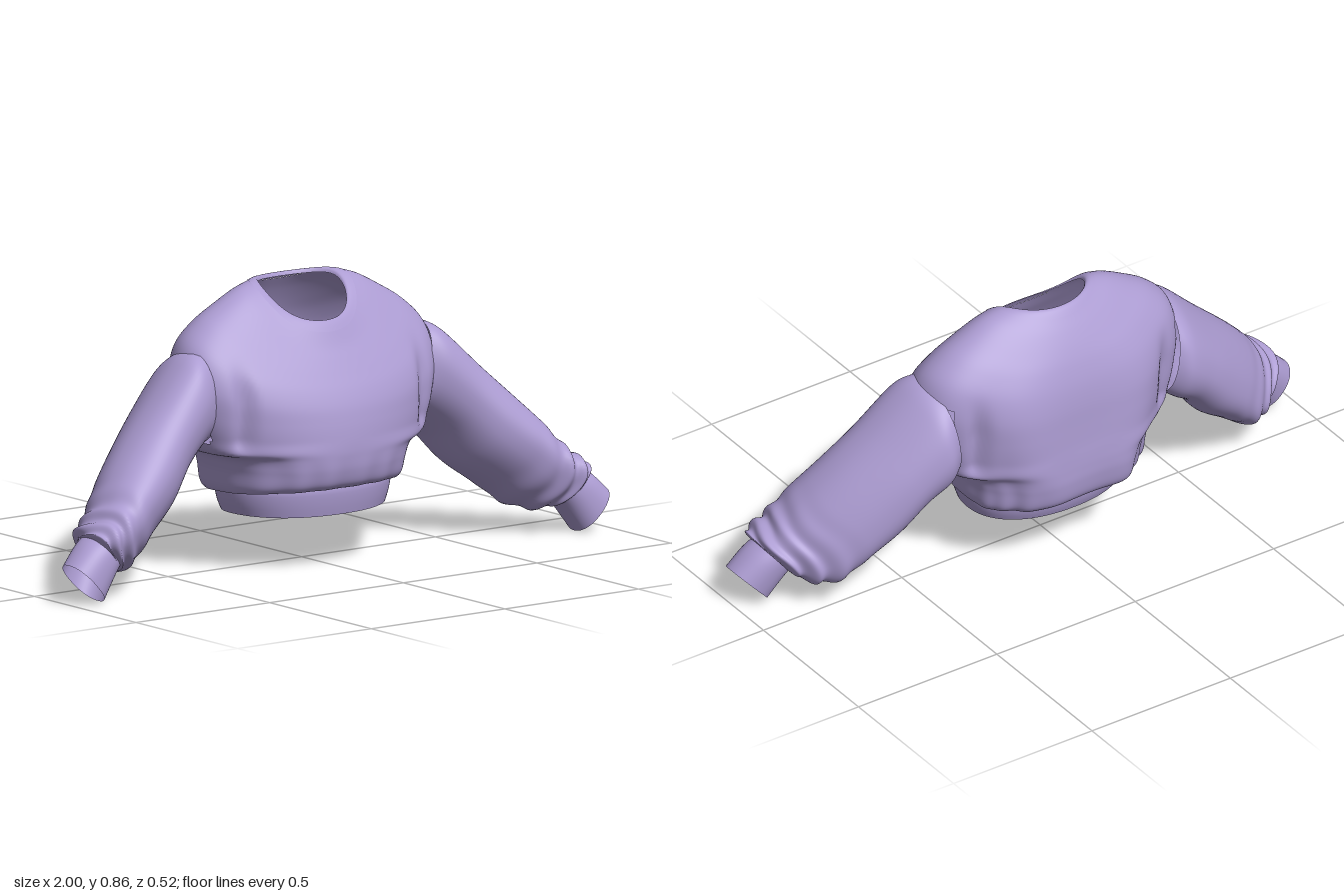
import * as THREE from 'three';

const fabric = new THREE.MeshStandardMaterial({ color: 0xac9cd2, side: THREE.DoubleSide });
fabric.name = 'lilac fabric';

// Smooth interpolation through a list of section rows
function sample(rows, v) {
  const t = v * (rows.length - 1);
  const i = Math.min(Math.floor(t), rows.length - 2);
  const f = t - i;
  const at = (k) => rows[Math.max(0, Math.min(rows.length - 1, k))];
  return rows[i].map((p1, k) => {
    const p0 = at(i - 1)[k], p2 = at(i + 1)[k], p3 = at(i + 2)[k];
    const m1 = (p2 - p0) / 2, m2 = (p3 - p1) / 2;
    return p1 + f * (m1 + f * (3 * (p2 - p1) - 2 * m1 - m2 + f * (2 * (p1 - p2) + m1 + m2)));
  });
}

// Closed-loop surface: point(v, angle) gives [x, y, z]; cut(x, y, z) leaves openings
function loft(name, steps, sides, point, flip = false, cut = () => false) {
  const pos = [], idx = [];
  for (let i = 0; i <= steps; i++) {
    for (let j = 0; j < sides; j++) {
      const p = point(i / steps, (j / sides) * Math.PI * 2);
      pos.push(...p);
      if (i === steps || cut(...p)) continue;
      const a = i * sides + j, b = i * sides + ((j + 1) % sides);
      const c = a + sides, d = b + sides;
      idx.push(...(flip ? [a, b, c, b, d, c] : [a, c, b, b, c, d]));
    }
  }
  const g = new THREE.BufferGeometry();
  g.setAttribute('position', new THREE.Float32BufferAttribute(pos, 3));
  g.setIndex(idx);
  g.computeVertexNormals();
  const mesh = new THREE.Mesh(g, fabric);
  mesh.name = name;
  return mesh;
}

const power = (c, e) => Math.sign(c) * Math.pow(Math.abs(c), e);
const smooth = THREE.MathUtils.smoothstep;

// Torso ring: half width, front z, back z, then y at front, side and back
function torsoPoint(row, a, round, fold = 0) {
  const [w, zf, zb, yf, ys, yb] = row;
  const c = Math.cos(a), s = Math.sin(a), e = 2 / round;
  const k = 1 + fold;
  const b = (c + Math.sin(c * Math.PI / 2)) / 2;
  const y = ys + ((yf - yb) / 2) * b + ((yf + yb) / 2 - ys) * b * b;
  return [w * power(s, e) * (1 + fold * Math.abs(c)), y, (c > 0 ? zf : -zb) * power(c, e) * k];
}

// Sleeve ring: top x, top y, bottom x, bottom y, back z, front z, forward lean of the top
function sleevePoint(row, a, side, k = 1) {
  const [tx, ty, bx, by, zb, zf, lean] = row;
  const c = power(Math.cos(a), 0.9) * k, s = power(Math.sin(a), 0.9) * k;
  return [
    side * ((tx + bx) / 2 + ((tx - bx) / 2) * c),
    (ty + by) / 2 + ((ty - by) / 2) * c,
    (zf + zb) / 2 + ((zf - zb) / 2) * s + lean * c,
  ];
}

const collarRows = [
  [0.142, 0.116, -0.106, 0.737, 0.826, 0.836],
  [0.146, 0.121, -0.112, 0.737, 0.835, 0.848],
  [0.158, 0.131, -0.124, 0.725, 0.84, 0.842],
  [0.175, 0.142, -0.138, 0.706, 0.84, 0.824],
];
// Neck, dropped shoulders, underarm, then the waist turning in above the hem
const bodyRows = [
  [0.172, 0.139, -0.136, 0.708, 0.84, 0.824],
  [0.225, 0.16, -0.162, 0.665, 0.825, 0.785],
  [0.295, 0.183, -0.19, 0.625, 0.79, 0.735],
  [0.37, 0.205, -0.213, 0.585, 0.745, 0.685],
  [0.43, 0.228, -0.233, 0.54, 0.685, 0.625],
  [0.452, 0.245, -0.245, 0.495, 0.6, 0.56],
  [0.44, 0.255, -0.25, 0.45, 0.5, 0.49],
  [0.42, 0.261, -0.253, 0.41, 0.425, 0.43],
  [0.395, 0.264, -0.256, 0.375, 0.372, 0.385],
  [0.33, 0.264, -0.257, 0.345, 0.352, 0.345],
  [0.31, 0.26, -0.255, 0.305, 0.31, 0.30],
  [0.303, 0.247, -0.243, 0.265, 0.255, 0.245],
  [0.292, 0.225, -0.215, 0.247, 0.232, 0.22],
  [0.278, 0.205, -0.188, 0.255, 0.242, 0.228],
];
const hemRows = [
  [0.276, 0.203, -0.186, 0.258, 0.245, 0.23],
  [0.282, 0.212, -0.192, 0.24, 0.235, 0.215],
  [0.276, 0.208, -0.186, 0.2, 0.2, 0.185],
  [0.264, 0.2, -0.176, 0.162, 0.165, 0.16],
];
const sleeveRows = [
  [0.42, 0.675, 0.375, 0.385, -0.155, 0.11, 0.02],
  [0.475, 0.646, 0.415, 0.357, -0.17, 0.13, 0.035],
  [0.6, 0.525, 0.475, 0.31, -0.148, 0.155, 0.04],
  [0.7, 0.43, 0.55, 0.22, -0.118, 0.188, 0.04],
  [0.78, 0.35, 0.64, 0.15, -0.082, 0.212, 0.045],
  [0.835, 0.285, 0.72, 0.085, -0.045, 0.228, 0.045],
  [0.875, 0.245, 0.785, 0.068, -0.005, 0.238, 0.035],
  [0.918, 0.215, 0.825, 0.085, 0.035, 0.24, 0.02],
  [0.915, 0.19, 0.84, 0.095, 0.075, 0.225, 0],
];
const cuffRows = [
  [0.9, 0.2, 0.82, 0.1, 0.075, 0.225, 0],
  [0.945, 0.172, 0.85, 0.06, 0.085, 0.232, 0],
  [1.0, 0.12, 0.89, 0.0, 0.1, 0.238, 0],
];

// Openings in the body where the sleeves join
const armhole = (x, y, z) => Math.abs(x) > 0.405 && y > 0.41 && y < 0.64 && Math.abs(z + 0.02) < 0.1;

export function createModel() {
  const group = new THREE.Group();
  group.name = 'sweatshirt';

  // Ribbed neckline with a rolled inner edge
  group.add(loft('collar', 9, 72, (v, a) => torsoPoint(sample(collarRows, v), a, 2)));

  // Body, with soft vertical folds gathering towards the hem and a crease by each arm
  group.add(loft('body', 78, 160, (v, a) => {
    const drape = smooth(v, 0.1, 0.5) * (1 - smooth(v, 0.92, 1));
    const back = 0.5 - 0.5 * Math.cos(a);
    const gather = smooth(v, 0.65, 0.88) * (1 - smooth(v, 0.95, 1));
    const fold = drape * 0.03 * back * -Math.cos(8 * a)
      + drape * 0.008 * Math.sin(5 * a + 4 * v)
      + gather * 0.012 * Math.sin(17 * a + 2 * Math.sin(3 * a));
    const round = 2 + 0.25 * back * smooth(v, 0, 0.3) + 0.4 * smooth(v, 0.55, 0.72);
    const [x, y, z] = torsoPoint(sample(bodyRows, v), a, round, fold);
    const crease = Math.exp(-(((Math.abs(x) - 0.335) / 0.025) ** 2))
      * smooth(y, 0.35, 0.42) * (1 - smooth(y, 0.52, 0.68));
    return [x, y, z * (1 - 0.14 * crease)];
  }, false, armhole));

  // Hem band
  group.add(loft('hem', 9, 96, (v, a) => torsoPoint(sample(hemRows, v), a, 2.2)));

  for (const side of [1, -1]) {
    const arm = new THREE.Group();
    arm.name = side > 0 ? 'leftArm' : 'rightArm';

    // Sleeve, rumpled in slanted rolls above the cuff
    arm.add(loft('sleeve', 90, 64, (v, a) => {
      const rumple = smooth(v, 0.45, 0.8) * (1 - smooth(v, 0.96, 1));
      const k = 1 + 0.02 * Math.sin(4 * a + 5 * v)
        + 0.065 * rumple * Math.sin(46 * v + 2.4 * Math.sin(a + 0.8) + 1.3 * Math.sin(3 * a));
      return sleevePoint(sample(sleeveRows, v), a, side, k);
    }, side > 0));

    // Cuff
    arm.add(loft('cuff', 8, 48, (v, a) => sleevePoint(sample(cuffRows, v), a, side), side > 0));
    group.add(arm);
  }
  return group;
}
